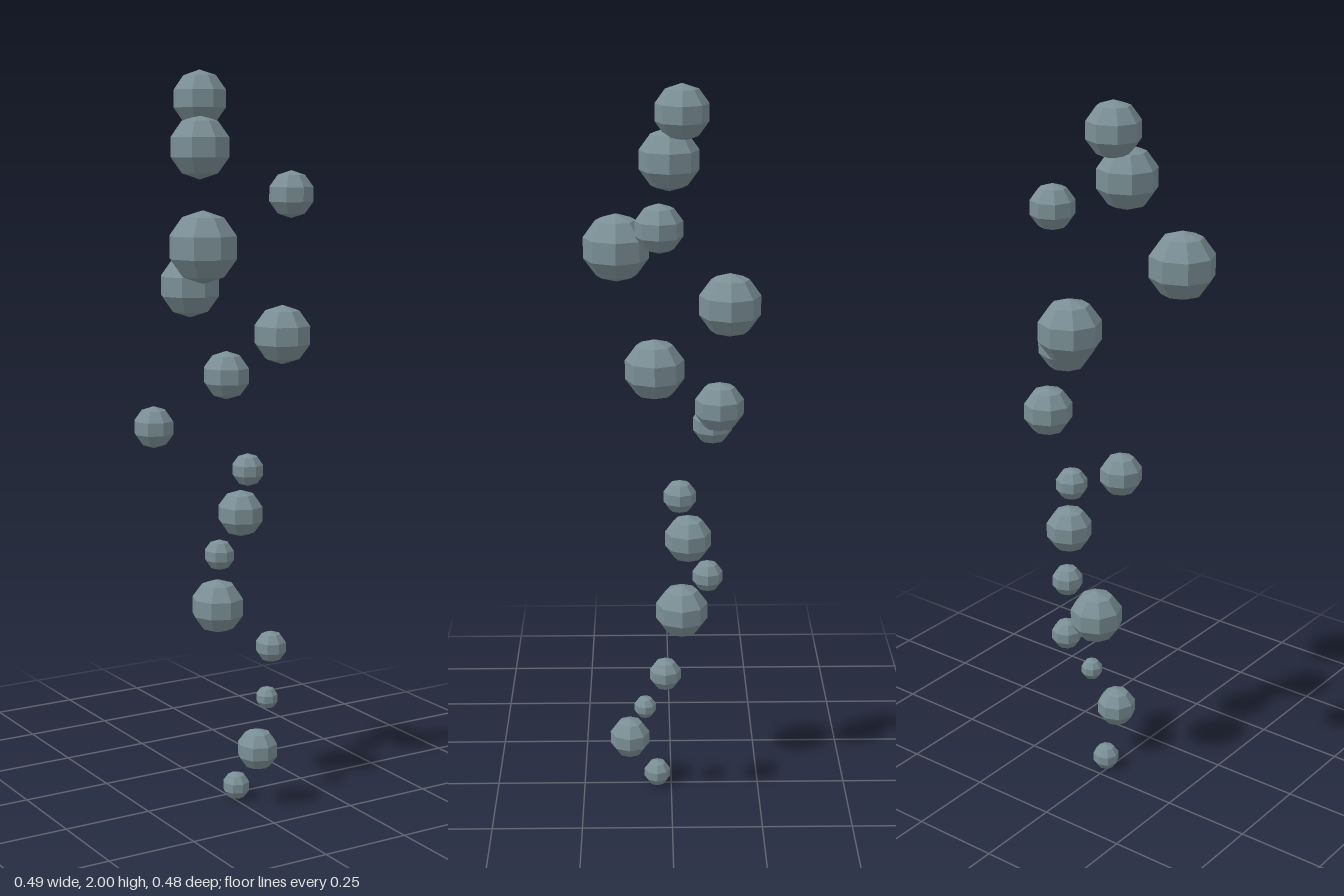
import * as THREE from 'three';

// x, z and radius of each bubble, from the bottom up
const BUBBLES = [
  [0.008, 0.04, 0.039], [0.029, 0.118, 0.058], [0.087, 0.074, 0.032], [0.135, 0.018, 0.045],
  [-0.01, -0.03, 0.076], [0.037, -0.1, 0.044], [0.073, -0.045, 0.066], [0.082, -0.022, 0.046],
  [-0.16, -0.118, 0.058], [0.076, -0.127, 0.068], [0.15, 0.045, 0.081], [-0.023, -0.157, 0.087],
  [-0.158, 0.147, 0.094], [0.184, 0.033, 0.064], [-0.084, 0.004, 0.084], [-0.065, -0.029, 0.075],
];
const BASE_Y = 0.04;
const STEP_Y = 0.1257;

export function createModel() {
  const group = new THREE.Group();
  group.name = 'bubbleColumn';
  const material = new THREE.MeshStandardMaterial({ color: 0x7b8f96, flatShading: true });
  material.name = 'blue grey';

  // Faceted bubbles at even heights, drifting sideways as they rise
  const sphere = new THREE.SphereGeometry(1, 8, 5);
  BUBBLES.forEach(([x, z, radius], i) => {
    const bubble = new THREE.Mesh(sphere, material);
    bubble.name = `bubble${i + 1}`;
    bubble.position.set(x, BASE_Y + i * STEP_Y, z);
    bubble.scale.setScalar(radius);
    group.add(bubble);
  });
  return group;
}
